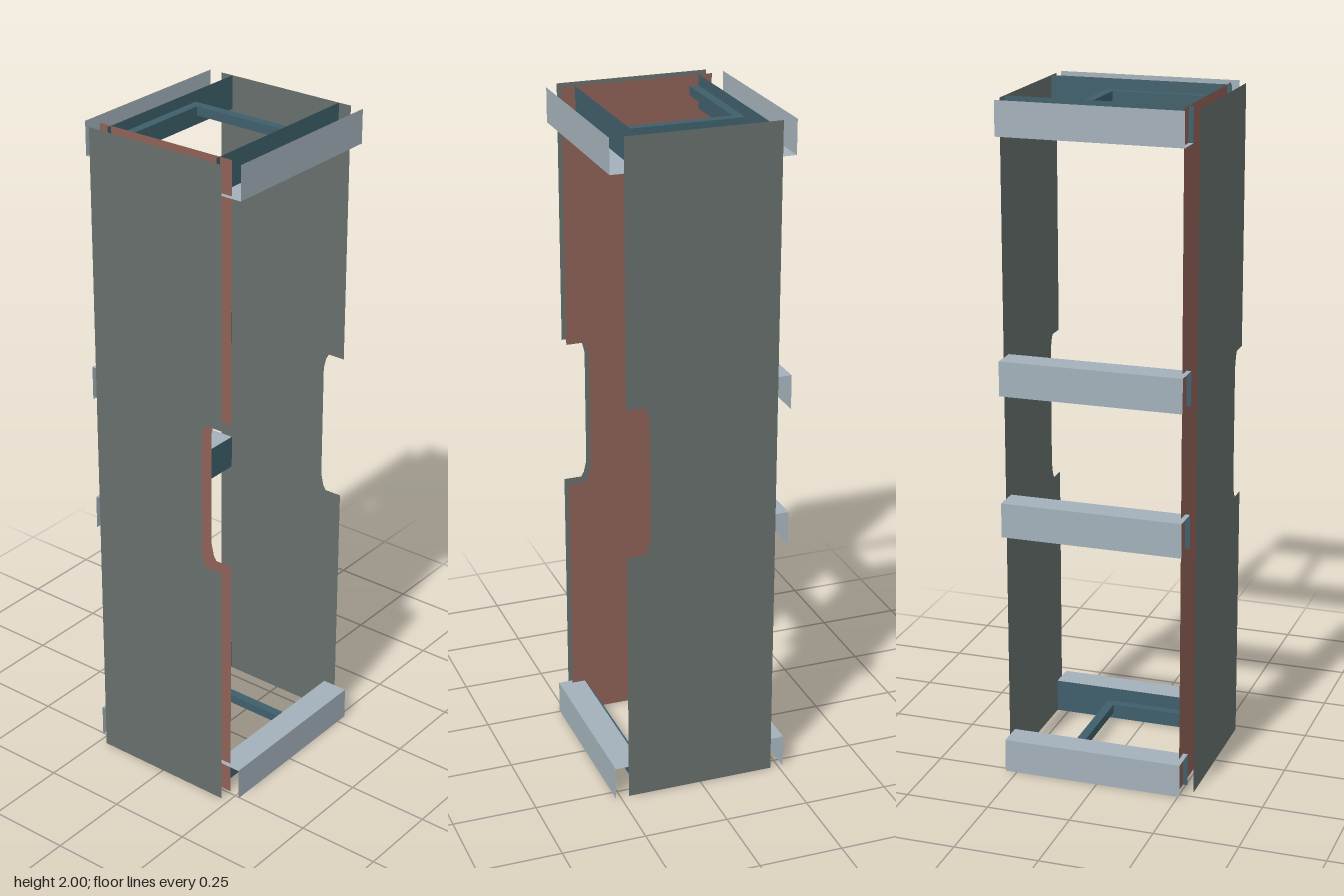
import * as THREE from 'three';

const mat = (name, color) => {
  const m = new THREE.MeshStandardMaterial({ color, side: THREE.DoubleSide });
  m.name = name;
  return m;
};

export function createModel() {
  const model = new THREE.Group();
  model.name = 'cabinetShell';

  const panelGrey = mat('panelGrey', 0x666f6c);
  const liningRed = mat('liningRed', 0x8e6156);
  const railSilver = mat('railSilver', 0xa3b1ba);
  const frameBlue = mat('frameBlue', 0x3f5f6b);

  const add = (parent, name, geometry, material, x, y, z) => {
    const mesh = new THREE.Mesh(geometry, material);
    mesh.name = name;
    mesh.position.set(x, y, z);
    parent.add(mesh);
    return mesh;
  };

  // Tall sheets with a chamfered hand notch in the +x edge
  const outline = [
    [-0.225, 0], [0.225, 0], [0.225, 0.78], [0.172, 0.78], [0.163, 0.795], [0.155, 0.83],
    [0.155, 1.18], [0.163, 1.215], [0.172, 1.23], [0.225, 1.23], [0.225, 2], [-0.225, 2],
  ];
  const sheet = new THREE.ShapeGeometry(new THREE.Shape(outline.map(([x, y]) => new THREE.Vector2(x, y))));
  add(model, 'frontPanel', sheet, panelGrey, 0, 0, 0.285);
  add(model, 'frontLining', sheet, liningRed, 0, 0, 0.241);
  add(model, 'backPanel', sheet, panelGrey, 0, 0, -0.285);

  // Side rails: open sheet channels running front to back
  const length = 0.54, zMid = -0.015, inner = 0.185, outer = 0.265;
  const addRail = (name, side, y0, y1, webY) => {
    const rail = new THREE.Group();
    rail.name = name;
    const wall = new THREE.PlaneGeometry(length, y1 - y0).rotateY(side * Math.PI / 2);
    const web = new THREE.PlaneGeometry(outer - inner, length).rotateX(-Math.PI / 2);
    add(rail, 'outerWall', wall, railSilver, side * outer, (y0 + y1) / 2, zMid);
    add(rail, 'web', web, railSilver, side * (inner + outer) / 2, webY, zMid);
    add(rail, 'innerWall', wall, frameBlue, side * inner, (y0 + y1) / 2, zMid);
    model.add(rail);
  };
  for (const side of [-1, 1]) {
    addRail('topRail', side, 1.9, 2, 1.9);
    addRail('bottomRail', side, 0, 0.1, 0.1);
  }
  addRail('upperMiddleRail', -1, 1.163, 1.265, 1.265);
  addRail('lowerMiddleRail', -1, 0.74, 0.843, 0.843);

  // U-shaped bar frames between the top and bottom rails
  const bar = 0.027, zBack = -0.117, zFront = 0.24;
  for (const [name, y] of [['topFrame', 1.955], ['bottomFrame', 0.045]]) {
    const frame = new THREE.Group();
    frame.name = name;
    const arm = new THREE.BoxGeometry(bar, bar, zFront - zBack);
    for (const side of [-1, 1]) {
      add(frame, 'arm', arm, frameBlue, side * (inner - 0.001 - bar / 2), y, (zFront + zBack) / 2);
    }
    const cross = new THREE.BoxGeometry(2 * (inner - bar), bar, bar);
    add(frame, 'crossBar', cross, frameBlue, 0, y, zBack + bar / 2);
    model.add(frame);
  }

  return model;
}
